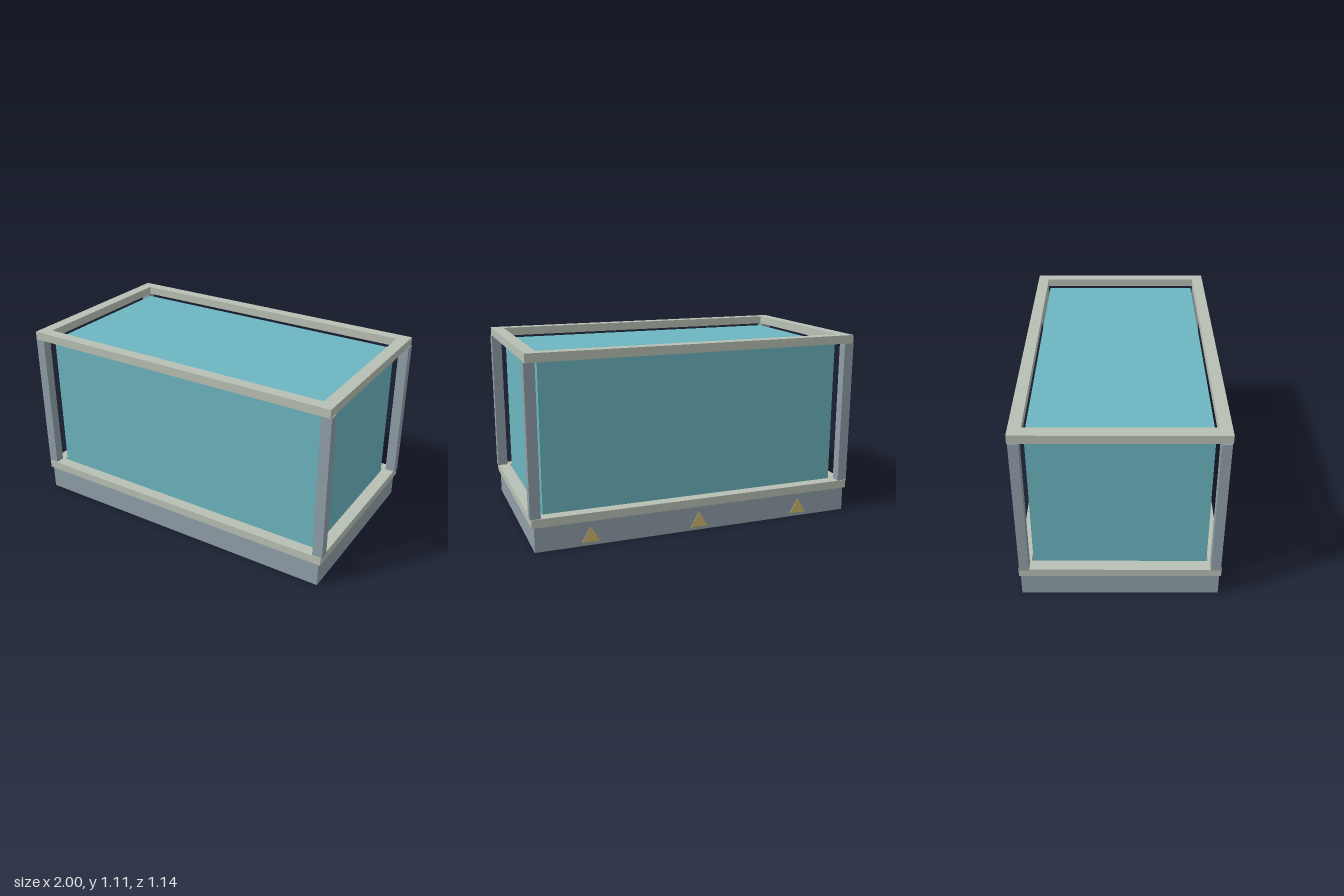
import * as THREE from 'three';

const material = (color) => new THREE.MeshStandardMaterial({ color, flatShading: true });

export function createModel() {
  const model = new THREE.Group();
  model.name = 'displayTank';
  const slate = material(0x8f9fa8);
  const trim = material(0xb8c0b4);
  const glass = material(0x6cb5c0);
  const gold = material(0xccb870);

  const add = (name, geometry, mat, x, y, z) => {
    const mesh = new THREE.Mesh(geometry, mat);
    mesh.name = name;
    mesh.position.set(x, y, z);
    model.add(mesh);
    return mesh;
  };

  // Box given by its half extents in x and z and its bottom and top heights
  const block = (name, mat, hx, hz, y0, y1, x = 0, z = 0) =>
    add(name, new THREE.BoxGeometry(hx * 2, y1 - y0, hz * 2), mat, x, (y0 + y1) / 2, z);

  // Plinth and the tank standing on it
  block('base', slate, 0.98, 0.562, 0, 0.146);
  block('tank', glass, 0.915, 0.492, 0.146, 1.048);

  // Rectangular trim frames, open in the middle
  const rect = (path, hx, hz) =>
    path.moveTo(-hx, -hz).lineTo(hx, -hz).lineTo(hx, hz).lineTo(-hx, hz).closePath();
  const outline = rect(new THREE.Shape(), 0.994, 0.57);
  outline.holes.push(rect(new THREE.Path(), 0.922, 0.501));
  for (const [name, y0, y1] of [['lowerFrame', 0.146, 0.195], ['upperFrame', 1.06, 1.11]]) {
    const ring = new THREE.ExtrudeGeometry(outline, { depth: y1 - y0, bevelEnabled: false });
    ring.rotateX(-Math.PI / 2);
    add(name, ring, trim, 0, y0, 0);
  }

  // Corner posts
  for (const sx of [-1, 1]) {
    for (const sz of [-1, 1]) {
      block('cornerPost', slate, 0.03, 0.0275, 0.195, 1.06, sx * 0.97, sz * 0.5375);
    }
  }

  // Warning triangles along the back of the plinth
  const triangle = new THREE.Shape().moveTo(-0.054, 0.02).lineTo(0.054, 0.02).lineTo(0, 0.112).closePath();
  const plate = new THREE.ExtrudeGeometry(triangle, { depth: 0.004, bevelEnabled: false });
  for (const x of [-0.66, 0, 0.66]) add('warningTriangle', plate, gold, x, 0, -0.565);

  return model;
}
